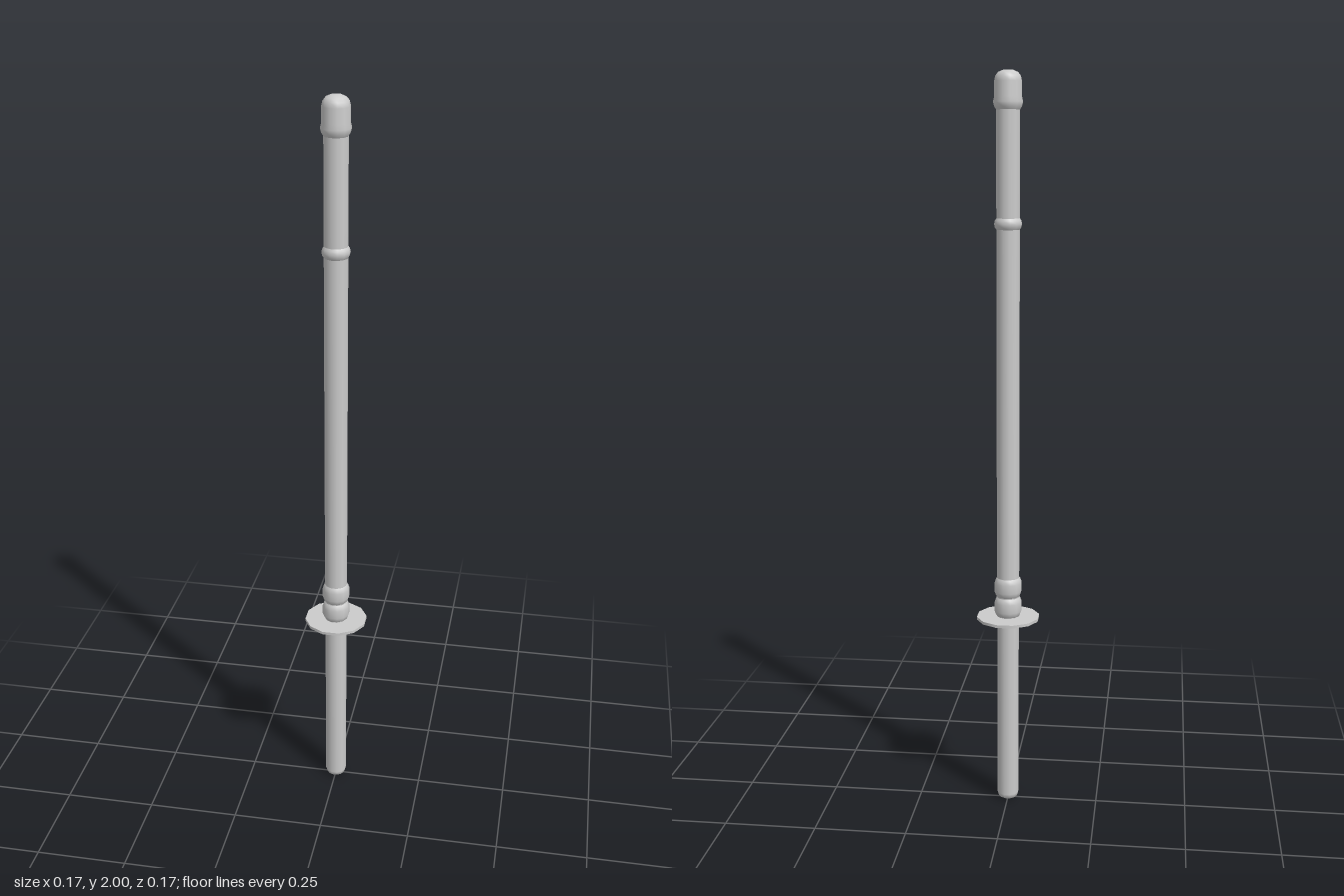
import * as THREE from 'three';

const SIDES = 12;
const TURN = Math.PI / SIDES; // puts flats of the twelve-sided parts on the axes

export function createModel() {
  const group = new THREE.Group();
  group.name = 'practiceSword';
  const material = new THREE.MeshStandardMaterial({ color: 0xcccccc });

  const add = (name, geometry, y = 0) => {
    const mesh = new THREE.Mesh(geometry, material);
    mesh.name = name;
    mesh.position.y = y;
    group.add(mesh);
  };
  // Turned part from [radius, height] pairs, listed bottom to top
  const turned = (name, profile, y) => add(name, new THREE.LatheGeometry(
    profile.map(([r, h]) => new THREE.Vector2(r, h)), SIDES, TURN, Math.PI * 2), y);

  // Grip with a rounded butt
  turned('grip', [[0, 0], [0.018, 0.001], [0.026, 0.006], [0.03, 0.018], [0.03, 0.54]]);

  // Thin hand guard
  add('guard', new THREE.CylinderGeometry(0.087, 0.087, 0.008, SIDES, 1, false, TURN), 0.539);

  // Two rounded collars above the guard
  const collar = [[0.029, -0.029], [0.034, -0.023], [0.038, -0.012],
    [0.038, 0.012], [0.034, 0.023], [0.029, 0.029]];
  turned('lowerCollar', collar, 0.571);
  turned('upperCollar', collar, 0.627);

  // Long straight blade
  turned('blade', [[0.031, 0.54], [0.031, 1.93]]);

  // Binding ring around the blade
  turned('bindingRing', [[0.03, -0.016], [0.035, -0.009], [0.037, 0],
    [0.035, 0.009], [0.03, 0.016]], 1.613);

  // Tip cap with a flared rim and a domed end
  turned('tipCap', [[0.03, 1.9], [0.036, 1.909], [0.039, 1.921], [0.036, 1.934],
    [0.036, 1.972], [0.033, 1.985], [0.026, 1.994], [0.014, 1.999], [0, 2]]);

  return group;
}
